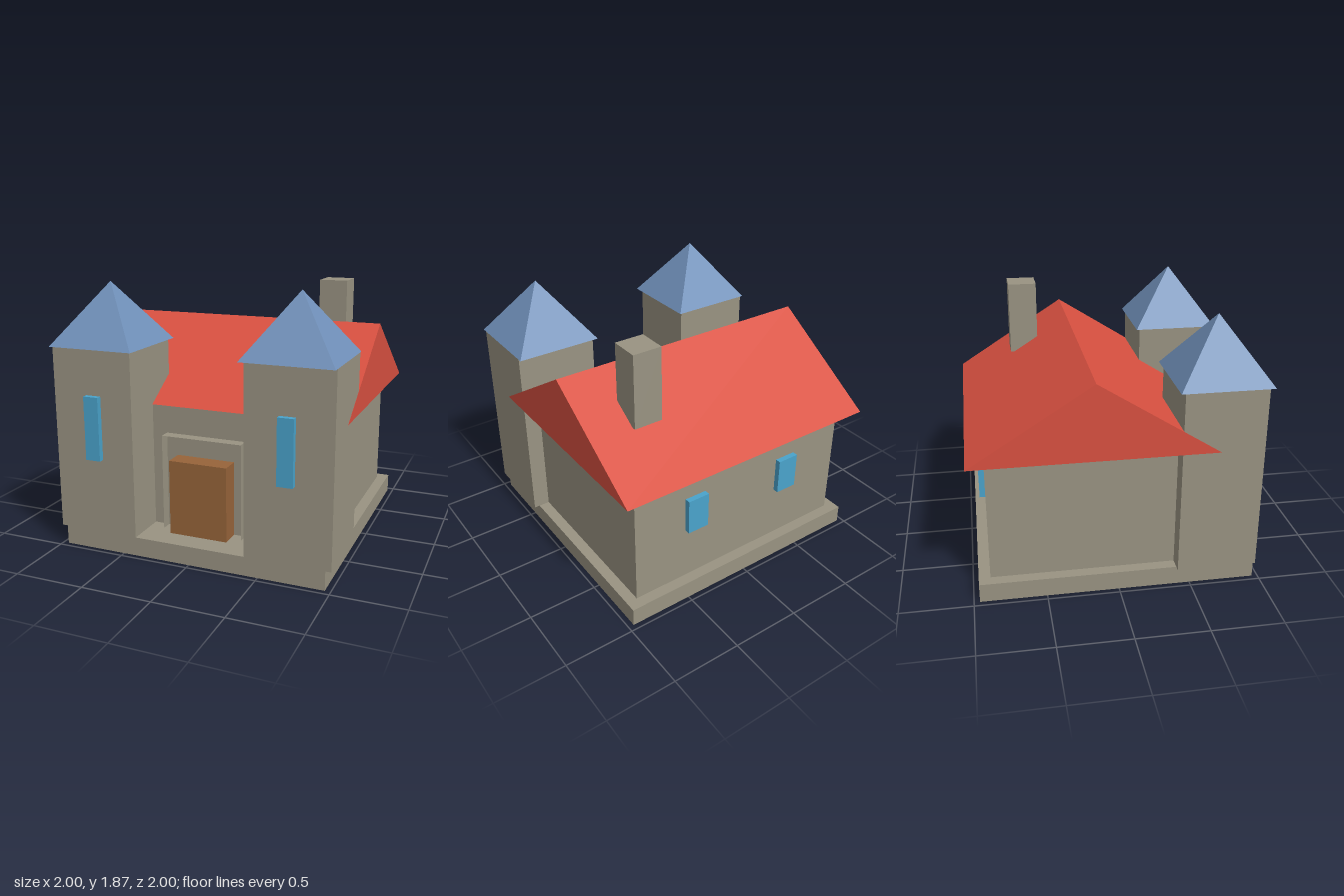
import * as THREE from 'three';

const mat = (name, color, extra = {}) => {
  const m = new THREE.MeshStandardMaterial({ color, ...extra });
  m.name = name;
  return m;
};

export function createModel() {
  const stone = mat('stone', 0x999382, { side: THREE.DoubleSide });
  const red = mat('redRoof', 0xd85040);
  const blue = mat('blueRoof', 0x7090b9, { flatShading: true });
  const glass = mat('windowBlue', 0x4aa3cb);
  const wood = mat('doorBrown', 0x97643a);

  const group = new THREE.Group();
  group.name = 'castleHouse';

  const add = (name, geometry, material) => {
    const mesh = new THREE.Mesh(geometry, material);
    mesh.name = name;
    group.add(mesh);
    return mesh;
  };

  // Box from its limits; listed faces (0 +x, 1 -x, 2 +y, 3 -y, 4 +z, 5 -z) are left open
  const box = (name, material, [x0, x1], [y0, y1], [z0, z1], open = []) => {
    const g = new THREE.BoxGeometry(x1 - x0, y1 - y0, z1 - z0);
    g.translate((x0 + x1) / 2, (y0 + y1) / 2, (z0 + z1) / 2);
    if (open.length) {
      g.setIndex(Array.from(g.index.array).filter((v, i) => !open.includes(Math.floor(i / 6))));
      g.clearGroups();
    }
    return add(name, g, material);
  };

  // Plinth, hollow underneath
  box('plinth', stone, [-0.96, 0.96], [0, 0.135], [-0.96, 0.96], [3]);

  // House walls
  box('houseWalls', stone, [-0.88, 0.88], [0.135, 1.02], [-0.88, 0.66]);

  // Gabled roof, a triangle in (z, y) extruded along x
  const gable = new THREE.Shape([
    new THREE.Vector2(-1, 1.02),
    new THREE.Vector2(0.665, 1.02),
    new THREE.Vector2(-0.167, 1.55),
  ]);
  const roof = new THREE.ExtrudeGeometry(gable, { depth: 2.002, bevelEnabled: false });
  roof.rotateY(-Math.PI / 2).translate(1.001, 0, 0);
  add('houseRoof', roof, red);

  box('chimney', stone, [0.48, 0.69], [1.285, 1.82], [-0.61, -0.4]);

  // Door and its thin open surround
  box('doorSurround', stone, [-0.295, 0.295], [0.135, 0.824], [0.66, 0.74], [3, 4, 5]);
  box('door', wood, [-0.213, 0.213], [0.135, 0.67], [0.66, 0.8]);

  // Towers and windows, mirrored
  for (const [side, s] of [['left', 1], ['right', -1]]) {
    const span = (a, b) => (s > 0 ? [a, b] : [-b, -a]);
    box(side + 'Tower', stone, span(0.403, 1), [0.135, 1.445], [0.403, 0.96]);

    const cap = new THREE.ConeGeometry(0.3125 * Math.SQRT2, 0.425, 4);
    cap.rotateY(Math.PI / 4).translate(0.6875 * s, 1.445 + 0.2125, 0.6875);
    add(side + 'TowerRoof', cap, blue);

    box(side + 'TowerWindow', glass, span(0.638, 0.748), [0.672, 1.122], [0.96, 1]);
    box(side + 'BackWindow', glass, span(0.315, 0.478), [0.538, 0.802], [-0.92, -0.88]);
  }

  return group;
}
